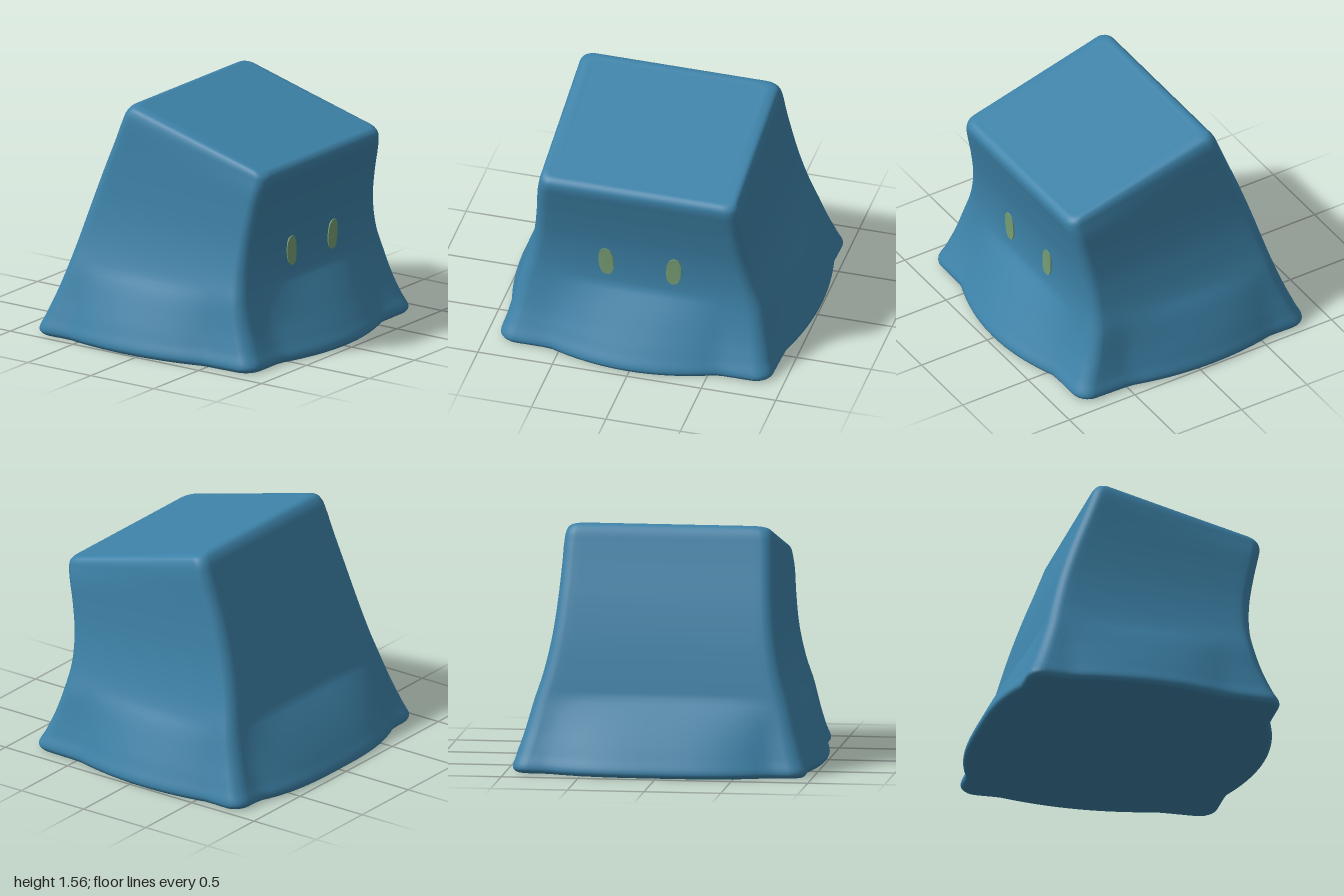
import * as THREE from 'three';

const blue = new THREE.MeshStandardMaterial({ color: 0x3d82a8 });
blue.name = 'blue skin';
const green = new THREE.MeshStandardMaterial({ color: 0x779e74 });
green.name = 'pale green';

// Edge profiles from base to top as [x, y, half depth]; rows of both sides pair up.
const curve = (rows) => new THREE.CatmullRomCurve3(rows.map((p) => new THREE.Vector3(...p)));
const lowEdge = curve([
  [-0.76, 0, 0.87], [-0.83, 0, 0.94], [-0.85, 0.03, 0.96], [-0.815, 0.12, 0.935],
  [-0.755, 0.28, 0.885], [-0.7, 0.45, 0.838], [-0.655, 0.62, 0.785], [-0.59, 0.85, 0.735],
  [-0.505, 1.1, 0.705], [-0.42, 1.32, 0.69], [-0.375, 1.44, 0.685], [-0.345, 1.515, 0.675],
  [-0.315, 1.552, 0.655], [-0.28, 1.562, 0.61], [-0.24, 1.551, 0.56],
]);
const highEdge = curve([
  [0.76, 0, 0.82], [0.83, 0, 0.89], [0.85, 0.03, 0.91], [0.81, 0.12, 0.885],
  [0.755, 0.25, 0.855], [0.705, 0.42, 0.82], [0.682, 0.58, 0.77], [0.688, 0.78, 0.725],
  [0.72, 0.98, 0.7], [0.755, 1.14, 0.685], [0.77, 1.21, 0.67], [0.768, 1.25, 0.66],
  [0.745, 1.28, 0.64], [0.7, 1.295, 0.59], [0.66, 1.306, 0.54],
]);

// Unit rounded square, counter-clockwise seen from above, starting on the front side.
function unitRing(r = 0.12, straight = 26, arc = 6) {
  const ring = [];
  for (let k = 0; k < 4; k++) {
    const side = [];
    for (let i = 0; i < straight; i++) side.push([(1 - r) * (-1 + (2 * i) / straight), 1]);
    for (let i = 0; i < arc; i++) {
      const a = (i / arc) * Math.PI / 2;
      side.push([1 - r + r * Math.sin(a), 1 - r + r * Math.cos(a)]);
    }
    for (let [u, v] of side) {
      for (let q = 0; q < k; q++) [u, v] = [v, -u];
      ring.push([u, v]);
    }
  }
  return ring;
}

const bump = (d, power) => Math.max(0, 1 - Math.abs(d) ** power);

// Loft of tilting rounded sections, with a pillow flaring out at the foot of each side.
function bodyGeometry() {
  const ring = unitRing(), n = ring.length, rows = 70;
  const pos = [], index = [];
  for (let j = 0; j <= rows; j++) {
    const a = lowEdge.getPoint(j / rows), b = highEdge.getPoint(j / rows);
    for (const [u, v] of ring) {
      const p = a.clone().lerp(b, (u + 1) / 2);
      const z = v * p.z, flare = bump(p.y / 0.48, 2);
      const swellX = 0.113 * flare * (u < 0 ? bump(z / 0.72, 3) : bump(z / 0.56, 2));
      const swellZ = 0.066 * flare * bump((p.x + 0.05) / 0.52, 2);
      pos.push(p.x + Math.sign(u) * swellX, Math.max(0, p.y), z + Math.sign(v) * swellZ);
    }
  }
  for (let j = 0; j < rows; j++) {
    for (let i = 0; i < n; i++) {
      const a = j * n + i, b = j * n + (i + 1) % n;
      index.push(a, b, a + n, b, b + n, a + n);
    }
  }
  // caps
  const bottom = pos.length / 3, top = bottom + 1, last = rows * n;
  pos.push(0, 0, 0, 0.21, 1.4285, 0);
  for (let i = 0; i < n; i++) {
    const k = (i + 1) % n;
    index.push(k, i, bottom, last + i, last + k, top);
  }
  const g = new THREE.BufferGeometry();
  g.setAttribute('position', new THREE.Float32BufferAttribute(pos, 3));
  g.setIndex(index);
  g.computeVertexNormals();
  return g;
}

// Thin upright oval that follows the curve of the face.
function eyeGeometry(side) {
  const outline = [];
  for (let i = 0; i < 32; i++) {
    const t = (i / 32) * Math.PI * 2, c = Math.cos(t), s = Math.sin(t);
    const x = 0.05 * Math.sign(c) * Math.abs(c) ** 0.8, y = 0.098 * Math.sign(s) * Math.abs(s) ** 0.8;
    outline.push(new THREE.Vector2(x - side * 0.06 * y, y));
  }
  const g = new THREE.ExtrudeGeometry(new THREE.Shape(outline), { depth: 0.009, bevelEnabled: false });
  g.rotateY(Math.PI / 2);
  g.translate(0, 0.655, side * 0.227);
  const p = g.attributes.position;
  for (let i = 0; i < p.count; i++) {
    const d = p.getY(i) - 0.63;
    p.setX(i, p.getX(i) + 0.679 + 0.35 * d * d);
  }
  g.computeVertexNormals();
  return g;
}

export function createModel() {
  const model = new THREE.Group();
  const body = new THREE.Mesh(bodyGeometry(), blue);
  body.name = 'body';
  model.add(body);
  for (const side of [1, -1]) {
    const eye = new THREE.Mesh(eyeGeometry(side), green);
    eye.name = side > 0 ? 'frontEye' : 'backEye';
    model.add(eye);
  }
  return model;
}
